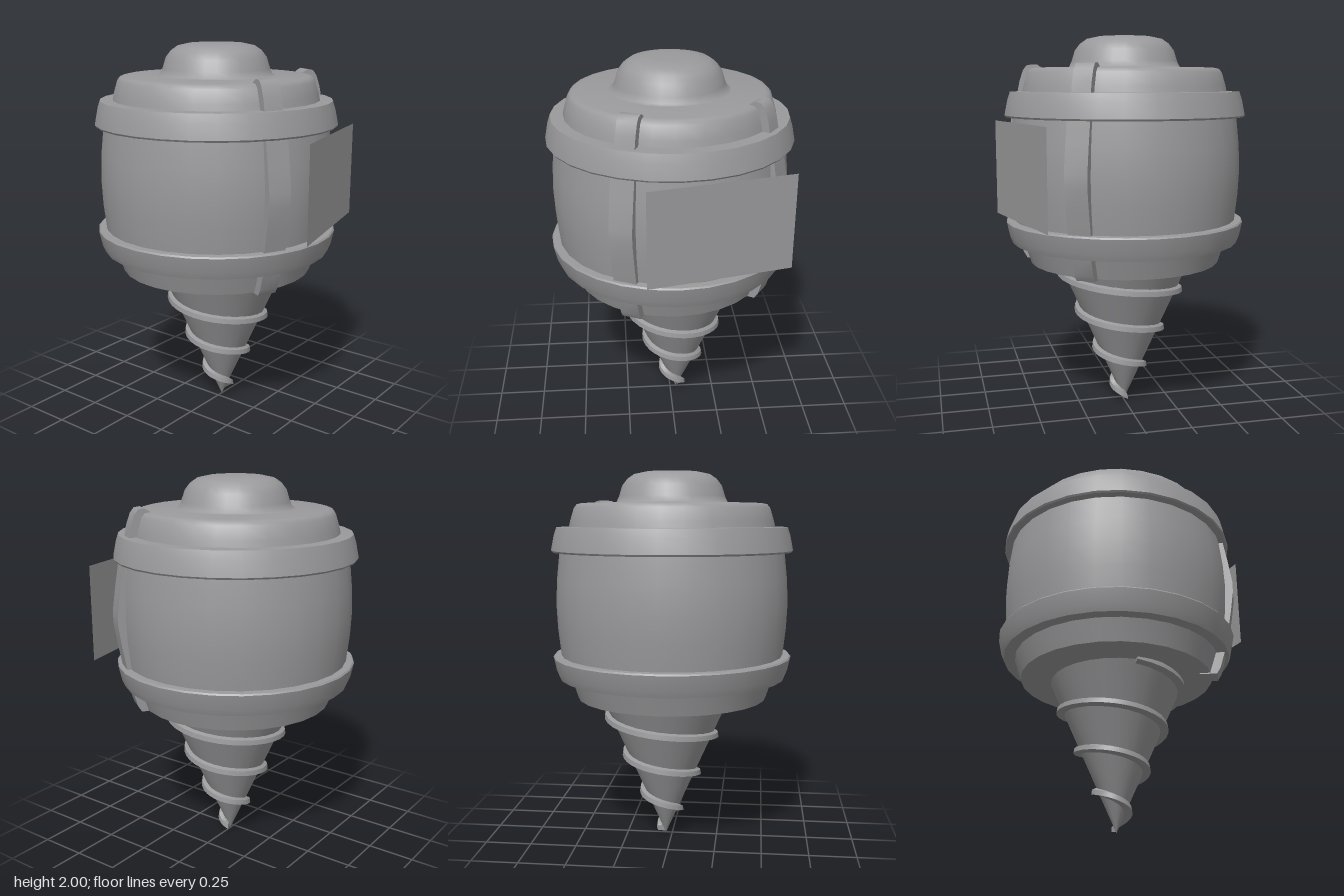
import * as THREE from 'three';
import { toCreasedNormals } from 'three/addons/utils/BufferGeometryUtils.js';

const CX = -0.012; // axis of the round body
const CONE_Z = -0.035; // axis of the drill
const coneRadius = (y) => Math.max(0, 0.443 * (y - 0.005));

export function createModel() {
  const model = new THREE.Group();
  const grey = new THREE.MeshStandardMaterial({ color: 0x9a9a9c });
  grey.name = 'grey metal';
  const greySheet = grey.clone();
  greySheet.side = THREE.DoubleSide;

  const add = (name, geometry, x = 0, y = 0, z = 0, material = grey) => {
    const mesh = new THREE.Mesh(geometry, material);
    mesh.name = name;
    mesh.position.set(x, y, z);
    model.add(mesh);
    return mesh;
  };
  // Profiles run from bottom to top as [radius, height]
  const lathe = (name, profile, z = 0, x = CX, crease = 0.7) => {
    const g = new THREE.LatheGeometry(profile.map((p) => new THREE.Vector2(...p)), 28);
    return add(name, toCreasedNormals(g, crease), x, 0, z);
  };

  // Round body
  lathe('lowerCap', [[0, 0.805], [0.51, 0.805], [0.55, 0.93], [0.5, 0.94]]);
  lathe('lowerRing', [[0.54, 0.918], [0.607, 0.918], [0.622, 0.955], [0.638, 1.03], [0.632, 1.038], [0.58, 1.04]]);
  lathe('barrel', [[0.59, 1.0], [0.597, 1.06], [0.61, 1.18], [0.616, 1.31], [0.61, 1.44], [0.597, 1.56], [0.59, 1.62]]);
  lathe('upperRing', [[0.58, 1.582], [0.632, 1.583], [0.638, 1.592], [0.622, 1.67], [0.608, 1.712], [0.53, 1.714]]);
  lathe('upperCap', [[0.545, 1.7], [0.535, 1.745], [0.515, 1.81], [0.5, 1.829], [0.48, 1.834], [0, 1.838]], 0, CX, 1);
  lathe('dome', [[0.31, 1.834], [0.292, 1.842], [0.279, 1.87], [0.262, 1.925], [0.235, 1.96],
    [0.2, 1.984], [0.14, 1.997], [0.08, 2], [0, 2]], 0, CX, 1);

  // Two straps with their bulging middle bars and stubs on the caps
  const strapParts = [
    ['strapMiddle', 0.12, [[0.55, 1.03], [0.61, 1.03], [0.632, 1.15], [0.65, 1.27], [0.65, 1.33], [0.632, 1.46], [0.61, 1.59], [0.55, 1.59]]],
    ['strapTop', 0.1, [[0.45, 1.7], [0.58, 1.7], [0.565, 1.77], [0.545, 1.825], [0.525, 1.85], [0.495, 1.855], [0.47, 1.84], [0.455, 1.82]]],
    ['strapBottom', 0.1, [[0.45, 0.8], [0.54, 0.798], [0.56, 0.83], [0.59, 0.93], [0.45, 0.93]]],
  ];
  for (const [side, degrees] of [['front', 25], ['back', -55.5]]) {
    const strap = new THREE.Group();
    strap.name = side + 'Strap';
    strap.position.x = CX;
    strap.rotation.y = -THREE.MathUtils.degToRad(degrees);
    for (const [name, width, outline] of strapParts) {
      const shape = new THREE.Shape(outline.map((p) => new THREE.Vector2(...p)));
      const g = new THREE.ExtrudeGeometry(shape, { depth: width, bevelEnabled: false });
      g.translate(0, 0, -width / 2);
      const mesh = new THREE.Mesh(toCreasedNormals(g, 0.8), grey);
      mesh.name = name;
      strap.add(mesh);
    }
    model.add(strap);
  }

  // Flat panel between the straps
  const panel = add('sidePanel', new THREE.PlaneGeometry(0.742, 0.5), 0.577, 1.31, -0.205, greySheet);
  panel.rotation.y = Math.PI / 2 + Math.atan2(0.165, 0.72);

  // Drill cone
  lathe('drillCone', [[0, 0.005], [coneRadius(0.3), 0.3], [coneRadius(0.6), 0.6], [coneRadius(0.83), 0.83]], CONE_Z, 0);

  // Spiral thread: a small wedge section swept down the cone
  const positions = [];
  const index = [];
  const steps = 112;
  for (let i = 0; i <= steps; i++) {
    const t = (i / steps) * 3.55;
    const y = 0.805 - 0.2175 * t;
    const a = t * Math.PI * 2;
    const r = coneRadius(y);
    const section = [[r - 0.012, y + 0.026], [r + 0.03, y + 0.012], [r + 0.034, y - 0.014], [r - 0.012, y - 0.02]];
    for (const [sr, sy] of section) positions.push(Math.sin(a) * sr, sy, Math.cos(a) * sr);
    if (i === steps) break;
    for (let k = 0; k < 4; k++) {
      const p = i * 4 + k;
      const q = i * 4 + ((k + 1) % 4);
      index.push(p, q, p + 4, q, q + 4, p + 4);
    }
  }
  const e = steps * 4;
  index.push(0, 2, 1, 0, 3, 2, e, e + 1, e + 2, e, e + 2, e + 3);
  const thread = new THREE.BufferGeometry();
  thread.setAttribute('position', new THREE.Float32BufferAttribute(positions, 3));
  thread.setIndex(index);
  add('drillThread', toCreasedNormals(thread, 0.6), 0, 0, CONE_Z);

  return model;
}
